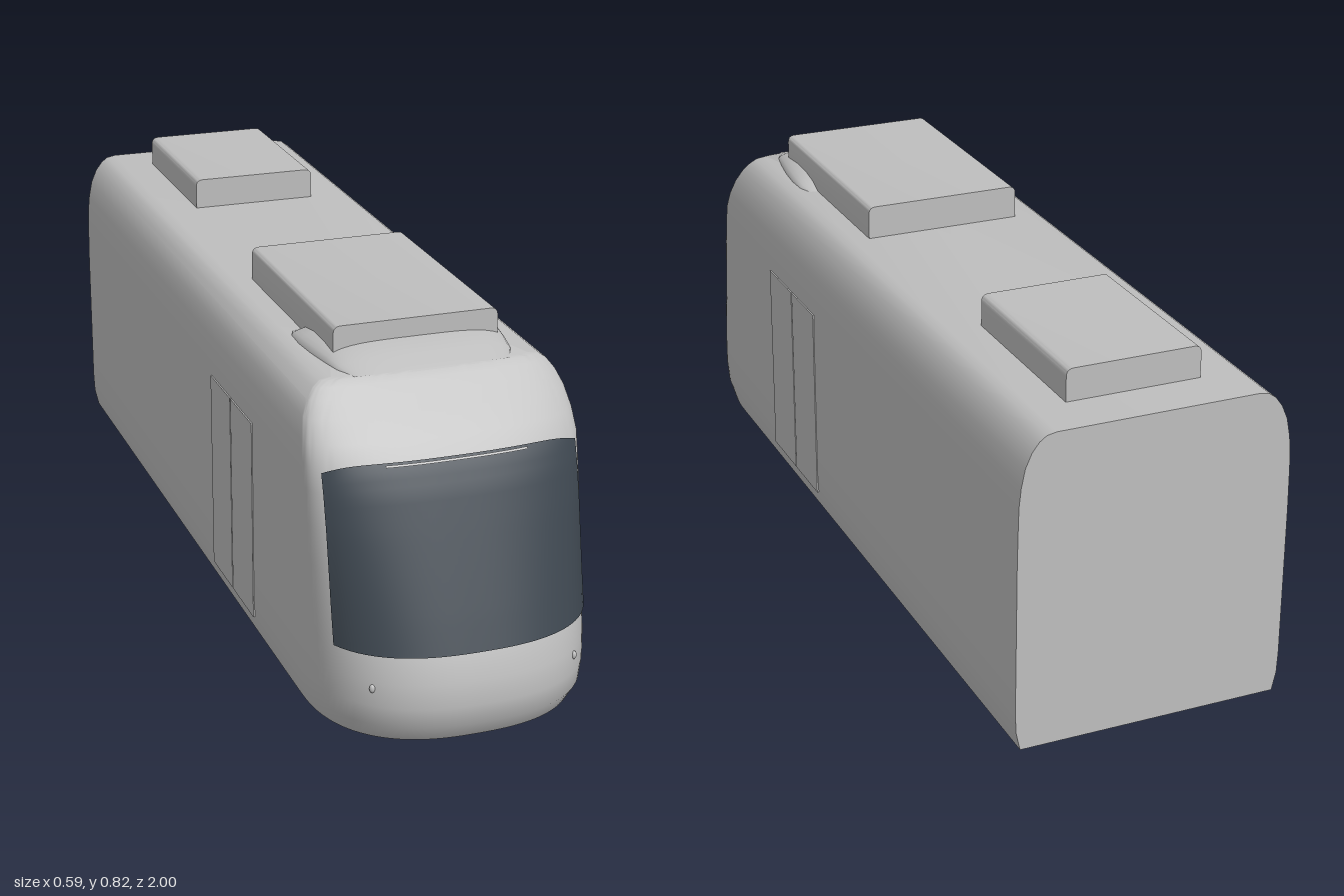
import * as THREE from 'three';
import { toCreasedNormals, mergeVertices } from 'three/addons/utils/BufferGeometryUtils.js';

const bodyMat = new THREE.MeshStandardMaterial({ color: 0xbebebe });
bodyMat.name = 'light grey';
const glassMat = new THREE.MeshStandardMaterial({ color: 0x3d464f, side: THREE.DoubleSide });
glassMat.name = 'dark glass';

// Hull levels: y, half width, front z at the centre, depth of the nose rounding
const LEVELS = [
  [0.065, 0.282, 0.965, 0.28], [0.105, 0.291, 0.993, 0.29], [0.15, 0.293, 1.0, 0.29],
  [0.2, 0.293, 0.994, 0.28], [0.25, 0.293, 0.977, 0.26], [0.32, 0.293, 0.948, 0.23],
  [0.4, 0.293, 0.914, 0.19], [0.48, 0.293, 0.88, 0.15], [0.55, 0.292, 0.85, 0.12],
  [0.6, 0.291, 0.823, 0.095], [0.64, 0.287, 0.79, 0.075], [0.68, 0.279, 0.75, 0.055],
  [0.71, 0.266, 0.72, 0.04], [0.73, 0.251, 0.7, 0.03], [0.741, 0.236, 0.688, 0.022],
  [0.745, 0.215, 0.682, 0.018],
];
const POWER = 2.5;

function levelAt(y) {
  let i = 0;
  while (i < LEVELS.length - 2 && LEVELS[i + 1][0] < y) i++;
  const a = LEVELS[i], b = LEVELS[i + 1];
  const t = (y - a[0]) / (b[0] - a[0]);
  return a.map((v, k) => v + (b[k] - v) * t);
}

// z of the nose surface at a given x and y
function noseZ(x, y) {
  const [, w, front, depth] = levelAt(y);
  const r = Math.min(1, Math.abs(x) / w);
  return front - depth + depth * (1 - r ** POWER) ** (1 / POWER);
}

// Surface through a grid of points; fn(u, v) gives [x, y, z]
function gridGeometry(nu, nv, fn) {
  const pos = [], idx = [];
  for (let j = 0; j <= nv; j++)
    for (let i = 0; i <= nu; i++) pos.push(...fn(i / nu, j / nv));
  for (let j = 0; j < nv; j++)
    for (let i = 0; i < nu; i++) {
      const a = j * (nu + 1) + i, d = a + nu + 1;
      idx.push(a, a + 1, d + 1, a, d + 1, d);
    }
  const g = new THREE.BufferGeometry();
  g.setAttribute('position', new THREE.Float32BufferAttribute(pos, 3));
  g.setIndex(idx);
  g.computeVertexNormals();
  return g;
}

// Closed hull: stacked outlines with a floor and a roof
function hullGeometry() {
  const SEG = 48, pos = [], idx = [];
  const count = SEG + 3;
  for (const [y, w, front, depth] of LEVELS) {
    pos.push(-w, y, -1);
    for (let i = 0; i <= SEG; i++) {
      const t = Math.PI * (1 - i / SEG), c = Math.cos(t), s = Math.max(0, Math.sin(t));
      pos.push(w * Math.sign(c) * Math.abs(c) ** (2 / POWER), y,
        front - depth + depth * s ** (2 / POWER));
    }
    pos.push(w, y, -1);
  }
  const top = (LEVELS.length - 1) * count;
  const floorC = pos.length / 3, roofC = floorC + 1;
  pos.push(0, LEVELS[0][0], 0, 0, LEVELS[LEVELS.length - 1][0], 0);
  for (let i = 0; i < count; i++) {
    const n = (i + 1) % count;
    for (let j = 0; j < LEVELS.length - 1; j++) {
      const a = j * count + i, b = j * count + n;
      idx.push(a, b, b + count, a, b + count, a + count);
    }
    idx.push(floorC, n, i, roofC, top + i, top + n);
  }
  const g = new THREE.BufferGeometry();
  g.setAttribute('position', new THREE.Float32BufferAttribute(pos, 3));
  g.setIndex(idx);
  return toCreasedNormals(mergeVertices(g), 0.6);
}

// Roof unit with rounded upper edges, running from z0 to z1
function roofUnitGeometry(half, top, z0, z1) {
  const r = 0.016, base = 0.74;
  const s = new THREE.Shape();
  s.moveTo(-half, base);
  s.lineTo(half, base);
  s.lineTo(half, top - r);
  s.quadraticCurveTo(half, top, half - r, top);
  s.lineTo(-half + r, top);
  s.quadraticCurveTo(-half, top, -half, top - r);
  const g = new THREE.ExtrudeGeometry(s, { depth: z1 - z0, bevelEnabled: false, curveSegments: 5 });
  g.translate(0, 0, z0);
  return toCreasedNormals(g, 0.6);
}

export function createModel() {
  const model = new THREE.Group();
  const add = (name, geometry, material = bodyMat, parent = model) => {
    const m = new THREE.Mesh(geometry, material);
    m.name = name;
    parent.add(m);
    return m;
  };

  add('hull', hullGeometry());

  // Windscreen laid over the nose, with softened upper corners
  add('windscreen', gridGeometry(48, 24, (u, v) => {
    const s = u * 2 - 1, x = 0.268 * s;
    const top = 0.609 - 0.016 * Math.abs(s) ** 8;
    const y = 0.255 + (top - 0.255) * v;
    return [x * 1.008, y, noseZ(x, y) + 0.005];
  }), glassMat);

  // Narrow strip along the top of the windscreen
  add('windscreenStrip', gridGeometry(20, 1, (u, v) => {
    const x = 0.3 * (u - 0.5), y = 0.602 + 0.004 * v;
    return [x, y, noseZ(x, y) + 0.008];
  }));

  // Roof units
  add('frontRoofUnit', roofUnitGeometry(0.178, 0.818, 0.055, 0.59));
  add('rearRoofUnit', roofUnitGeometry(0.145, 0.814, -0.89, -0.49));

  // Low fairing in front of the roof unit: z, half width, height
  const ribs = [[0.685, 0.165, 0], [0.64, 0.187, 0.02], [0.59, 0.197, 0.034], [0.53, 0.206, 0.037],
    [0.47, 0.211, 0.034], [0.42, 0.209, 0.022], [0.385, 0.195, 0]];
  add('roofFairing', gridGeometry(24, ribs.length - 1, (u, v) => {
    const [z, w, h] = ribs[Math.round(v * (ribs.length - 1))];
    const s = -Math.cos(u * Math.PI);
    return [w * s, 0.744 + h * Math.sqrt(Math.max(0, 1 - s ** 4)), z];
  }));

  // Doors and headlights, mirrored
  for (const side of [1, -1]) {
    const prefix = side > 0 ? 'left' : 'right';
    for (const [name, z0, z1] of [['RearDoorLeaf', 0.115, 0.258], ['FrontDoorLeaf', 0.262, 0.41]]) {
      add(prefix + name, new THREE.BoxGeometry(0.006, 0.45, z1 - z0))
        .position.set(side * 0.292, 0.33, (z0 + z1) / 2);
    }
    const lamp = add(prefix + 'Headlight', new THREE.SphereGeometry(1, 14, 10));
    lamp.scale.set(0.006, 0.009, 0.006);
    lamp.position.set(side * 0.216, 0.187, noseZ(0.216, 0.187));
  }

  // Wheel sets: flanged wheels joined by an axle
  const wheelProfile = [[0, -0.013], [0.068, -0.013], [0.068, -0.006], [0.062, -0.002],
    [0.06, 0.013], [0.045, 0.013], [0.04, 0.008], [0, 0.008]].map(p => new THREE.Vector2(...p));
  const wheelGeo = toCreasedNormals(new THREE.LatheGeometry(wheelProfile, 36), 0.5);
  const axleGeo = new THREE.CylinderGeometry(0.007, 0.007, 0.32, 12);
  for (const [name, z] of [['frontWheelSet', -0.26], ['rearWheelSet', -0.66]]) {
    const set = new THREE.Group();
    set.name = name;
    set.position.set(0, 0.068, z);
    for (const side of [1, -1]) {
      const wheel = add('wheel', wheelGeo, bodyMat, set);
      wheel.rotation.z = -side * Math.PI / 2;
      wheel.position.x = side * 0.169;
    }
    add('axle', axleGeo, bodyMat, set).rotation.z = Math.PI / 2;
    model.add(set);
  }

  return model;
}
